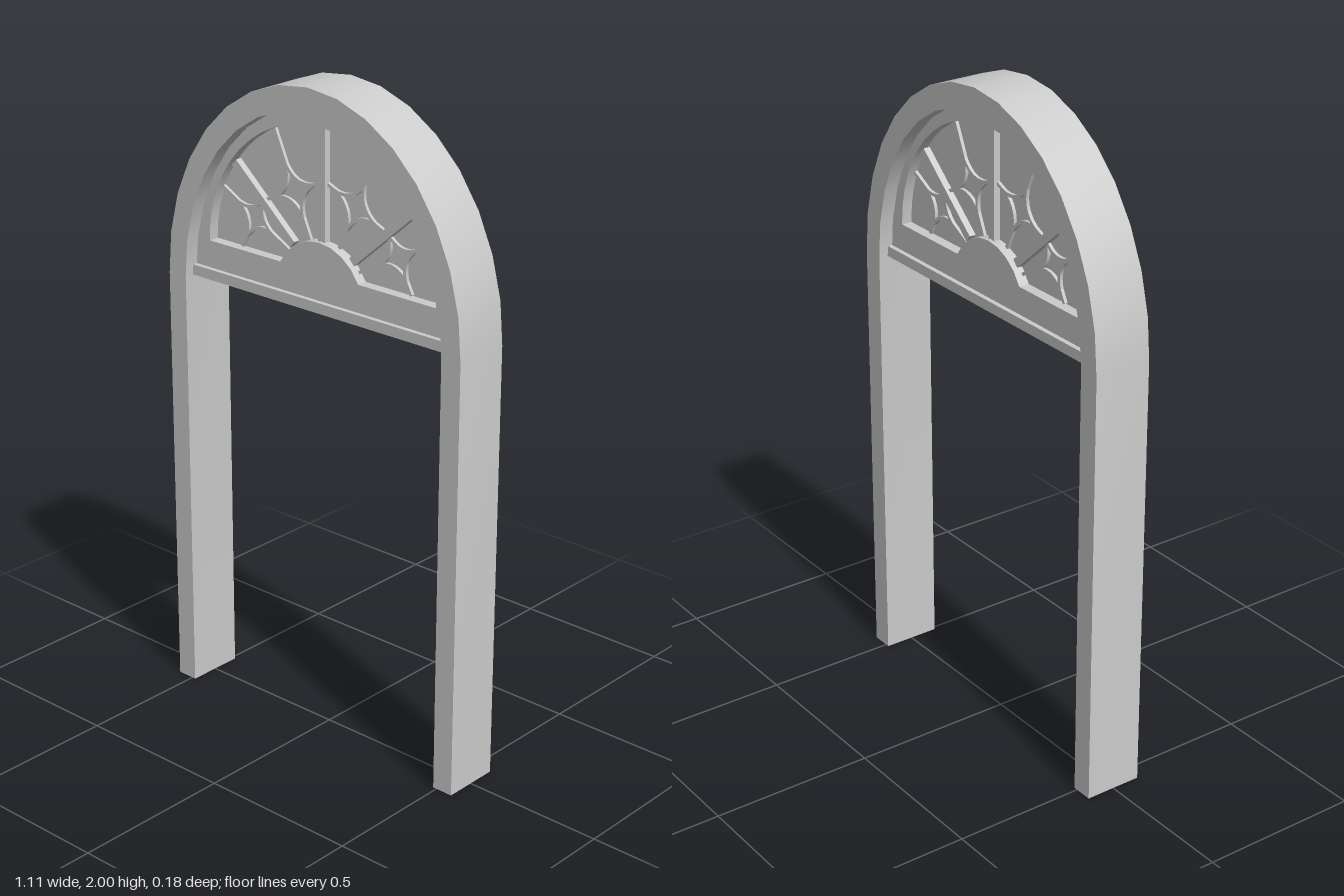
import * as THREE from 'three';
import { toCreasedNormals } from 'three/addons/utils/BufferGeometryUtils.js';

const SPRING = 1.34;
const V = (x, y) => new THREE.Vector2(x, y);
const material = new THREE.MeshStandardMaterial({ color: 0xcccccc, side: THREE.DoubleSide });

// Half-ellipse from +x over the top to -x
function arch(a, b, y, n = 16) {
  return Array.from({ length: n + 1 }, (_, i) => {
    const t = (i / n) * Math.PI;
    return V(a * Math.cos(t), y + b * Math.sin(t));
  });
}

// Extrude an outline symmetrically about z = 0
function slab(points, halfDepth, holes = []) {
  const shape = new THREE.Shape(points);
  shape.holes = holes.map(h => new THREE.Path(h));
  const geo = new THREE.ExtrudeGeometry(shape, { depth: halfDepth * 2, bevelEnabled: false });
  geo.translate(0, 0, -halfDepth);
  return toCreasedNormals(geo, 0.6);
}

// Flat bar of constant width following a path
function strip(path, width, halfDepth) {
  const left = [], right = [];
  path.forEach((p, i) => {
    const d = path[Math.min(i + 1, path.length - 1)].clone().sub(path[Math.max(i - 1, 0)]).normalize();
    const n = V(-d.y, d.x).multiplyScalar(width / 2);
    left.push(p.clone().add(n));
    right.push(p.clone().sub(n));
  });
  return slab([...right, ...left.reverse()], halfDepth);
}

// Remove faces lying on the ground, leaving the legs open underneath
function openBottom(geo) {
  const p = geo.attributes.position, n = geo.attributes.normal, pos = [], nor = [];
  for (let i = 0; i < p.count; i += 3) {
    if ([0, 1, 2].every(k => p.getY(i + k) < 1e-4)) continue;
    for (let k = i; k < i + 3; k++) {
      pos.push(p.getX(k), p.getY(k), p.getZ(k));
      nor.push(n.getX(k), n.getY(k), n.getZ(k));
    }
  }
  return new THREE.BufferGeometry()
    .setAttribute('position', new THREE.Float32BufferAttribute(pos, 3))
    .setAttribute('normal', new THREE.Float32BufferAttribute(nor, 3));
}

export function createModel() {
  const model = new THREE.Group();
  model.name = 'archedDoorway';
  const add = (name, geo, parent = model) => {
    const mesh = new THREE.Mesh(geo, material);
    mesh.name = name;
    parent.add(mesh);
    return mesh;
  };

  // Outer frame: two legs joined by the arch
  add('archFrame', openBottom(slab([
    V(0.555, 0), ...arch(0.555, 0.66, SPRING), V(-0.555, 0),
    V(-0.488, 0), ...arch(0.488, 0.586, SPRING).reverse(), V(0.488, 0),
  ], 0.09)));

  // Fanlight panel with a half-round opening around a raised hub
  const hub = [];
  for (let i = 0; i <= 8; i++) {
    const t = Math.PI - 0.48 - (i / 8) * (Math.PI - 0.96);
    hub.push(V(0.167 * Math.cos(t), 1.378 + 0.167 * Math.sin(t)));
  }
  const opening = [...arch(0.43, 0.425, 1.455, 24), ...hub];
  add('fanlightPanel', slab(arch(0.488, 0.586, SPRING), 0.045, [opening]));
  add('glass', slab(opening, 0.012));

  // Sill along the bottom of the panel
  const sill = add('sill', new THREE.BoxGeometry(0.976, 0.032, 0.12));
  sill.position.y = SPRING + 0.016;

  // Radiating glazing bars
  const centre = V(0, 1.411);
  const polar = (angle, r) => V(centre.x + r * Math.cos(angle), centre.y + r * Math.sin(angle));
  const spoke = 0.72;
  [[spoke, 0.15, 0.45], [Math.PI / 2, 0.12, 0.48], [Math.PI - spoke, 0.15, 0.45]].forEach(([t, r0, r1]) =>
    add('glazingBar', strip([polar(t, r0), polar(t, r1)], 0.026, 0.033)));

  // Tracery: a four-pointed star in each pane, its tips tied to the pane edges.
  // reach = distances outward, toward the spoke side, inward, toward the other side
  const panes = [
    { angle: 0.49, r: 0.305, size: 0.07, reach: [0.145, 0.075, 0.165, 0.11] },
    { angle: 1.15, r: 0.28, size: 0.078, reach: [0.2, 0.118, 0.15, 0.118] },
  ];
  for (const side of [1, -1]) {
    for (const { angle, r, size, reach } of panes) {
      const group = new THREE.Group();
      group.name = 'starTracery';
      model.add(group);
      const c = polar(angle, r);
      const at = (k, d) => {
        const t = angle + k * Math.PI / 2;
        return V(side * (c.x + d * Math.cos(t)), c.y + d * Math.sin(t));
      };
      const middle = V(side * c.x, c.y);
      for (let k = 0; k < 4; k++) {
        const a = at(k, size), b = at(k + 1, size);
        const control = middle.clone().lerp(a.clone().add(b).multiplyScalar(0.5), 0.3);
        add('starArc', strip(new THREE.QuadraticBezierCurve(a, control, b).getPoints(8), 0.01, 0.022), group);
        add('starTie', strip([at(k, size - 0.005), at(k, reach[k])], 0.01, 0.022), group);
      }
    }
  }
  return model;
}
